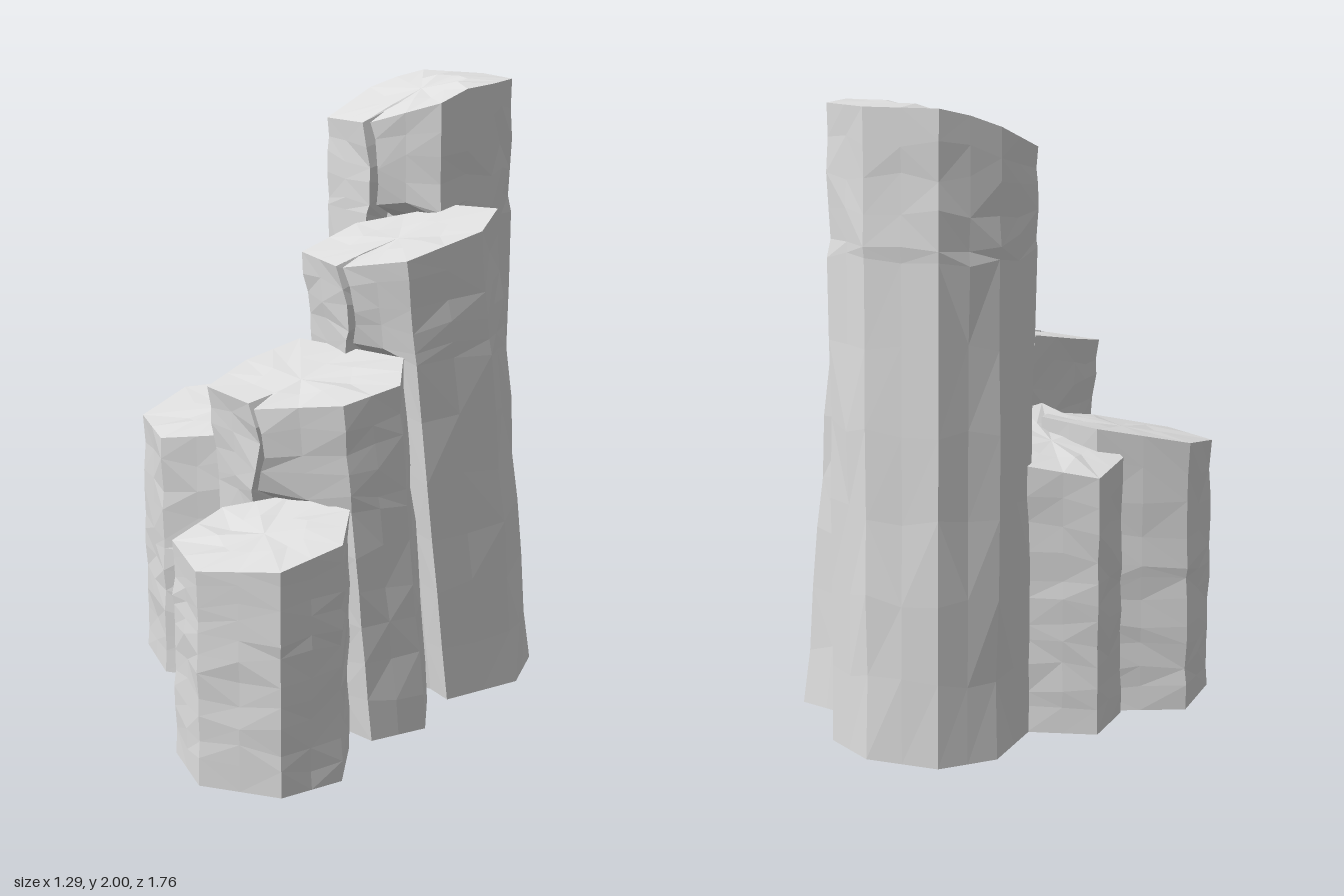
import * as THREE from 'three';

// Small seeded random source for the chipped rock surface
function seeded(seed) {
  let s = seed;
  return () => {
    s = (s * 16807) % 2147483647;
    return s / 2147483647;
  };
}

// outline: [x, z] corners at the top, running left, front, right, back
// top: [height, slope in x, slope in z]; lean: [x, z] offset of the foot
// crack: index of the inner corner of the front crack; ledge: height where the block beside it ends
const columns = [
  {
    name: 'tallBackColumn', top: [1.79, 0.16, -0.33], lean: [0, -0.035], crack: 3, ledge: 1.6,
    outline: [[-0.35, -0.63], [-0.31, -0.37], [-0.07, -0.29], [-0.05, -0.38], [-0.03, -0.285],
      [0.18, -0.4], [0.22, -0.62], [0.17, -0.78], [-0.01, -0.845], [-0.24, -0.79]],
  },
  {
    name: 'secondColumn', top: [1.487, 0.08, -0.22], lean: [0.07, -0.15], crack: 3, ledge: 1.22,
    outline: [[-0.07, -0.26], [-0.06, 0.01], [0.18, 0.1], [0.195, 0.01], [0.215, 0.105],
      [0.41, 0.02], [0.48, -0.26], [0.38, -0.46], [0.18, -0.47]],
  },
  {
    name: 'thirdColumn', top: [1.2, 0.02, -0.2], lean: [0.035, -0.1], crack: 3, ledge: 0.83,
    outline: [[-0.09, 0.24], [-0.05, 0.45], [0.18, 0.49], [0.2, 0.4], [0.23, 0.515],
      [0.48, 0.38], [0.54, 0.19], [0.4, 0.02], [-0.05, 0.03]],
  },
  {
    name: 'shortFrontColumn', top: [0.87, 0.02, -0.2], lean: [0, 0],
    outline: [[0.11, 0.54], [0.13, 0.77], [0.35, 0.875], [0.59, 0.76], [0.64, 0.55], [0.5, 0.37], [0.25, 0.38]],
  },
  {
    name: 'leftFrontColumn', top: [0.95, 0.06, -0.2], lean: [0, 0],
    outline: [[-0.4, -0.16], [-0.645, 0.01], [-0.6, 0.25], [-0.37, 0.37], [-0.14, 0.26], [-0.1, 0.05], [-0.18, -0.14]],
  },
  {
    name: 'leftBackColumn', top: [0.975, 0.2, 0.07], lean: [0, 0],
    outline: [[-0.31, -0.43], [-0.51, -0.33], [-0.48, -0.13], [-0.3, 0], [-0.07, 0.04], [-0.04, -0.15], [-0.08, -0.4]],
  },
];

const LOWER = 6; // rows from foot to just under the ledge
const UPPER = 4; // rows from the ledge to the top
const ROWS = LOWER + 1 + UPPER;
const BASE = 0.01;

function columnGeometry({ outline, top, lean, crack, ledge = 0.5 }, seed) {
  const random = seeded(seed);
  const wobble = (size) => (random() - 0.5) * 2 * size;
  const count = outline.length;
  const heightAt = (x, z) => Math.min(2, top[0] + top[1] * x + top[2] * z);

  // Corners plus a midpoint on each long side; the block beside the crack is cut back below the ledge
  const ring = [];
  outline.forEach(([x, z], i) => {
    const block = i === crack + 1;
    const besideCrack = Math.abs(i - crack) < 2;
    ring.push({ x, z, cut: block ? 0.1 : 0, sway: besideCrack ? 0.03 : 0 });
    const [nx, nz] = outline[(i + 1) % count];
    if (Math.hypot(nx - x, nz - z) > 0.15) {
      ring.push({ x: (x + nx) / 2, z: (z + nz) / 2, cut: block ? 0.07 : 0, sway: 0 });
    }
  });
  const n = ring.length;
  const cx = ring.reduce((sum, p) => sum + p.x, 0) / n;
  const cz = ring.reduce((sum, p) => sum + p.z, 0) / n;

  const positions = [];
  const index = [];
  const add = (x, y, z) => positions.push(x, y, z) / 3 - 1;

  // Wall rings from foot to top, with gentle chips
  for (let r = 0; r <= ROWS; r++) {
    const below = r <= LOWER;
    const edgeRow = r === 0 || r === ROWS;
    for (const p of ring) {
      const h = heightAt(p.x, p.z);
      const y = below
        ? BASE + (r / LOWER) * (ledge - 0.05 - BASE)
        : ledge + ((r - LOWER - 1) / UPPER) * (h - ledge);
      const down = (h - y) / (h - BASE);
      const k = edgeRow ? 1 : 0.992 + wobble(0.02);
      add(
        cx + (p.x - cx) * k + lean[0] * down + p.sway * Math.sin(down * 16),
        y + (edgeRow ? 0 : wobble(0.018)),
        cz + (p.z - cz) * k + lean[1] * down - (below ? p.cut : 0),
      );
    }
  }
  for (let r = 0; r < ROWS; r++) {
    for (let i = 0; i < n; i++) {
      const a = r * n + i;
      const b = r * n + (i + 1) % n;
      if (random() < 0.5) index.push(a, b, b + n, a, b + n, a + n);
      else index.push(a, b, a + n, b, b + n, a + n);
    }
  }

  // Sloping, slightly uneven top
  const rim = ROWS * n;
  const inner = positions.length / 3;
  for (const p of ring) {
    const x = cx + (p.x - cx) * 0.5;
    const z = cz + (p.z - cz) * 0.5;
    add(x, heightAt(x, z) + wobble(0.007), z);
  }
  const centre = add(cx, heightAt(cx, cz), cz);
  // Flat underside
  const foot = add(cx + lean[0], BASE, cz + lean[1]);
  for (let i = 0; i < n; i++) {
    const j = (i + 1) % n;
    index.push(rim + i, rim + j, inner + j, rim + i, inner + j, inner + i);
    index.push(centre, inner + i, inner + j);
    index.push(foot, j, i);
  }

  const indexed = new THREE.BufferGeometry();
  indexed.setAttribute('position', new THREE.Float32BufferAttribute(positions, 3));
  indexed.setIndex(index);
  const faceted = indexed.toNonIndexed();
  faceted.computeVertexNormals();
  return faceted;
}

export function createModel() {
  const group = new THREE.Group();
  group.name = 'rockColumns';
  const stone = new THREE.MeshStandardMaterial({ color: 0xdedede });
  stone.name = 'pale grey stone';
  columns.forEach((spec, i) => {
    const mesh = new THREE.Mesh(columnGeometry(spec, 101 + i * 977), stone);
    mesh.name = spec.name;
    group.add(mesh);
  });
  return group;
}
